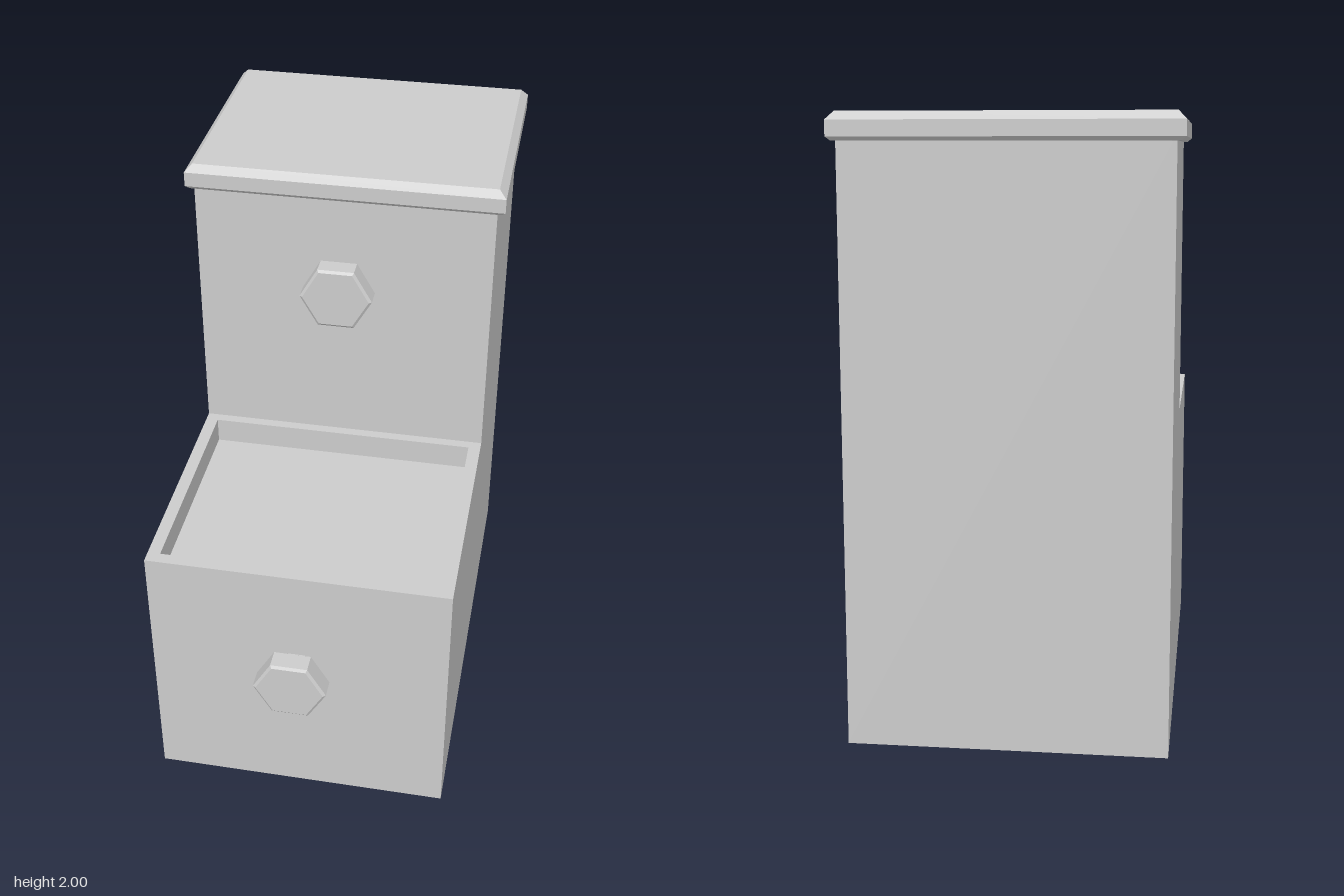
import * as THREE from 'three';

const WIDTH = 1.026, BACK = -0.88, STEP = -0.075, FRONT = 0.772;
const TRAY_FLOOR = 0.88, TRAY_TOP = 0.972;

const material = new THREE.MeshStandardMaterial({ color: 0xcccccc, flatShading: true });

function part(name, geometry, parent) {
  const mesh = new THREE.Mesh(geometry, material);
  mesh.name = name;
  parent.add(mesh);
  return mesh;
}

const points = (list) => list.map(([x, y]) => new THREE.Vector2(x, y));

// Rectangle outline lying in plan, with z running downwards in the shape
const rectangle = (halfX, z0, z1) =>
  points([[-halfX, -z1], [halfX, -z1], [halfX, -z0], [-halfX, -z0]]);

export function createModel() {
  const group = new THREE.Group();
  group.name = 'steppedCabinet';

  // Stepped body: side outline extruded across the width
  const outline = new THREE.Shape(points([
    [BACK, 0], [FRONT, 0], [FRONT, TRAY_FLOOR], [STEP, TRAY_FLOOR], [STEP, 1.93], [BACK, 1.93],
  ]));
  const body = new THREE.ExtrudeGeometry(outline, { depth: WIDTH, bevelEnabled: false });
  body.rotateY(-Math.PI / 2).translate(WIDTH / 2, 0, 0);
  part('body', body, group);

  // Raised rim around the recessed tray on the lower step
  const rimShape = new THREE.Shape(rectangle(WIDTH / 2, STEP, FRONT));
  rimShape.holes.push(new THREE.Path(rectangle(0.47, STEP + 0.035, FRONT - 0.042).reverse()));
  const rim = new THREE.ExtrudeGeometry(rimShape, { depth: TRAY_TOP - TRAY_FLOOR, bevelEnabled: false });
  rim.rotateX(-Math.PI / 2).translate(0, TRAY_FLOOR, 0);
  part('trayRim', rim, group);

  // Lid: four-sided lathe with chamfered edges, stretched to a rectangle
  const lidProfile = [[0, 1.912], [0.526, 1.912], [0.54, 1.924], [0.54, 1.974], [0.515, 2], [0, 2]];
  const lid = new THREE.LatheGeometry(
    points(lidProfile.map(([x, y]) => [x * Math.SQRT2, y])), 4, Math.PI / 4);
  lid.scale(1, 1, 0.785).translate(0, 0, -0.478);
  part('lid', lid, group);

  // Hexagonal knobs: thin stem and a bevelled head
  const knobProfile = points([
    [0, -0.01], [0.058, -0.01], [0.058, 0.053], [0.118, 0.053], [0.125, 0.059],
    [0.125, 0.121], [0.115, 0.128], [0, 0.128],
  ]);
  const knob = new THREE.LatheGeometry(knobProfile, 6, Math.PI / 2).rotateX(Math.PI / 2);
  for (const [name, y, z] of [['upperKnob', 1.6, STEP], ['lowerKnob', 0.58, FRONT]]) {
    part(name, knob, group).position.set(-0.005, y, z);
  }

  return group;
}
